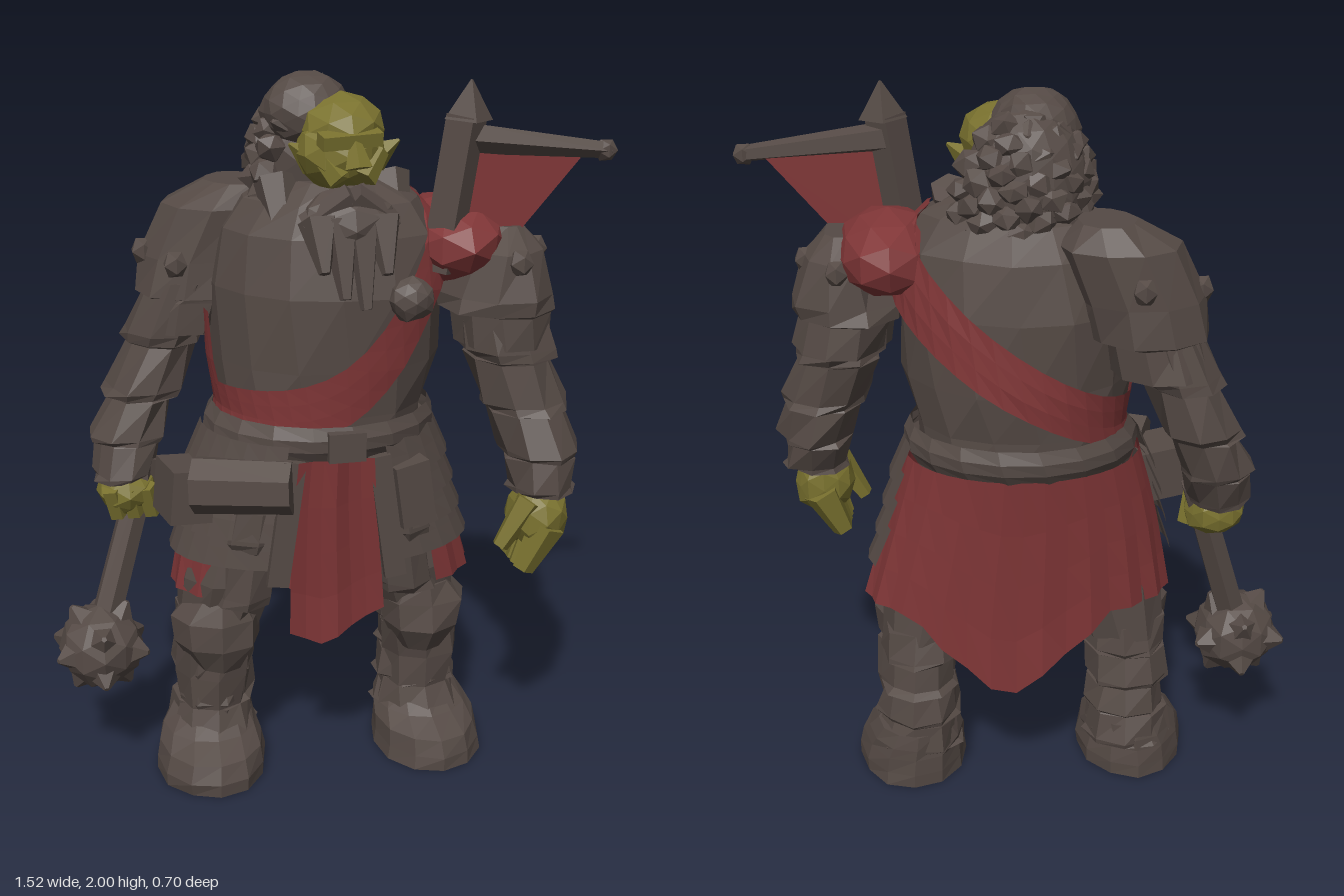
import * as THREE from 'three';

const mat = (name, color, side = THREE.FrontSide) => {
  const m = new THREE.MeshStandardMaterial({ color, flatShading: true, side });
  m.name = name;
  return m;
};

export function createModel() {
  const root = new THREE.Group();
  root.name = 'armouredWarrior';
  const brown = mat('darkLeather', 0x554a45, THREE.DoubleSide);
  const red = mat('redCloth', 0x803637, THREE.DoubleSide);
  const olive = mat('oliveSkin', 0x7a722f);
  const PI = Math.PI;

  const add = (name, geo, material, pos, rot) => {
    const m = new THREE.Mesh(geo, material);
    m.name = name;
    if (pos) m.position.set(...pos);
    if (rot) m.rotation.set(...rot);
    root.add(m);
    return m;
  };
  // Repeatable noise from a position, so shared corners stay together
  const noise = (x, y, z) => {
    const s = Math.sin(Math.round(x * 999) * 12.9 + Math.round(y * 999) * 78.2 + Math.round(z * 999) * 37.7) * 4375.85;
    return (s - Math.floor(s)) * 2 - 1;
  };
  const mesh3 = (pts, idx) => {
    const g = new THREE.BufferGeometry();
    g.setAttribute('position', new THREE.Float32BufferAttribute(pts, 3));
    g.setIndex(idx);
    const flat = g.toNonIndexed();
    flat.computeVertexNormals();
    return flat;
  };
  // Point on a ring [y, cx, cz, rx, rz, yaw]
  const ringPoint = ([y, cx, cz, rx, rz, yaw = 0], a, off = 0) => {
    const x = (rx + off) * Math.cos(a), z = (rz + off) * Math.sin(a);
    const c = Math.cos(yaw), s = Math.sin(yaw);
    return [cx + x * c + z * s, y, cz - x * s + z * c];
  };
  const lerpRing = (rings, t) => {
    const u = Math.min(Math.max(t, 0), 1) * (rings.length - 1);
    const i = Math.min(Math.floor(u), rings.length - 2);
    return rings[i].map((v, k) => v + (rings[i + 1][k] - v) * (u - i));
  };
  const ringAt = (rings, y) => { // rings run from top to bottom
    let i = 0;
    while (i < rings.length - 2 && rings[i + 1][0] > y) i++;
    const [p, q] = [rings[i], rings[i + 1]];
    const t = Math.min(Math.max((p[0] - y) / (p[0] - q[0]), 0), 1);
    return p.map((v, k) => (k ? v + (q[k] - v) * t : y));
  };
  // Closed solid through horizontal rings
  const loft = (name, material, rings, sides = 10, rough = 0.008) => {
    const r = rings[0][0] > rings.at(-1)[0] ? [...rings].reverse() : rings;
    const pts = [], idx = [], n = sides;
    r.forEach((ring, j) => {
      for (let i = 0; i < n; i++) {
        const a = (i / n) * PI * 2;
        pts.push(...ringPoint(ring, a, noise(...ringPoint(ring, a)) * rough));
        const p = j * n + i, q = j * n + (i + 1) % n;
        if (j < r.length - 1) idx.push(p, p + n, q, q, p + n, q + n);
      }
    });
    const lo = r.length * n, top = (r.length - 1) * n;
    pts.push(r[0][1], r[0][0], r[0][2], r.at(-1)[1], r.at(-1)[0], r.at(-1)[2]);
    for (let i = 0; i < n; i++) idx.push(lo, i, (i + 1) % n, lo + 1, top + (i + 1) % n, top + i);
    return add(name, mesh3(pts, idx), material);
  };
  // Overlapping armour bands along a chain of rings
  const banded = (rings, n, k = 0.06) => {
    const out = [];
    for (let i = 0; i < n; i++) {
      for (const [t, s] of [[i + 0.04, 1 - k], [i + 0.85, 1 + k], [i + 1, 1 + k * 0.6]]) {
        const r = lerpRing(rings, t / n);
        r[3] *= s; r[4] *= s;
        out.push(r);
      }
    }
    return out;
  };
  // Sheet wrapped round a body profile
  const wrap = (name, material, rings, a0, a1, top, bottom, off, cols = 24, rows = 4) => {
    const pts = [], idx = [];
    for (let i = 0; i <= cols; i++) {
      const a = a0 + (a1 - a0) * i / cols;
      for (let j = 0; j <= rows; j++) {
        const t = j / rows, y = top(a) + (bottom(a) - top(a)) * t;
        pts.push(...ringPoint(ringAt(rings, y), a, off(t, i)));
        const p = i * (rows + 1) + j;
        if (i < cols && j < rows) idx.push(p, p + rows + 1, p + 1, p + 1, p + rows + 1, p + rows + 2);
      }
    }
    return add(name, mesh3(pts, idx), material);
  };
  const blob = (name, material, pos, scale, detail = 1, rough = 0.1) => {
    const g = new THREE.IcosahedronGeometry(1, detail), p = g.attributes.position;
    for (let i = 0; i < p.count; i++) {
      const s = 1 + rough * noise(p.getX(i), p.getY(i), p.getZ(i));
      p.setXYZ(i, p.getX(i) * s * scale[0], p.getY(i) * s * scale[1], p.getZ(i) * s * scale[2]);
    }
    g.computeVertexNormals();
    return add(name, g, material, pos);
  };
  const rod = (name, material, from, to, r0, r1, sides = 6) => {
    const a = new THREE.Vector3(...from), b = new THREE.Vector3(...to), d = b.clone().sub(a);
    const m = add(name, new THREE.CylinderGeometry(r1, r0, d.length(), sides), material, a.clone().add(b).multiplyScalar(0.5).toArray());
    m.quaternion.setFromUnitVectors(new THREE.Vector3(0, 1, 0), d.normalize());
    return m;
  };
  const box = (name, material, size, pos, rot) => add(name, new THREE.BoxGeometry(...size), material, pos, rot);

  // Torso, twisted so the left shoulder leads
  const body = [
    [1.73, 0.03, 0.0, 0.14, 0.12, -0.35], [1.68, 0.03, 0.0, 0.24, 0.18, -0.35], [1.6, 0.03, -0.01, 0.3, 0.23, -0.35],
    [1.45, 0.02, -0.01, 0.32, 0.26, -0.3], [1.25, 0.02, -0.02, 0.31, 0.26, -0.2], [1.12, 0.01, -0.02, 0.28, 0.25, -0.1],
    [1.0, 0, -0.02, 0.29, 0.24, 0], [0.78, 0, -0.01, 0.31, 0.19, 0],
  ];
  loft('torso', brown, body, 14, 0.01);
  // Sash falls steeply across the chest and more evenly across the back
  const sashY = a => 1.14 + 0.46 * ((1 + Math.cos(a)) / 2) ** (Math.sin(a) > 0 ? 4 : 1.3);
  const sashHalf = a => 0.05 + 0.05 * (1 + Math.cos(a)) / 2 + (Math.sin(a) < 0 ? 0.02 : 0);
  wrap('chestSash', red, body, -PI, PI, a => Math.min(1.7, sashY(a) + sashHalf(a)), a => sashY(a) - sashHalf(a),
    () => 0.016, 36, 3);
  wrap('sideCloth', red, body, 0.87 * PI, 0.98 * PI, () => 1.38, () => 1.18, () => 0.016, 4, 3);
  blob('shoulderCloth', red, [0.35, 1.565, 0.05], [0.145, 0.115, 0.22], 1, 0.05);
  wrap('belt', brown, body, -PI, PI, () => 1.11, () => 1.01, t => 0.02 + 0.02 * Math.sin(t * PI), 18, 3);
  box('buckle', brown, [0.1, 0.08, 0.03], [0.02, 1.06, 0.26]);
  blob('sashBrooch', brown, [0.19, 1.45, 0.26], [0.06, 0.06, 0.045], 1);

  // Skirt, tabard and hip armour
  const hips = [[1.08, 0, -0.02, 0.3, 0.26], [0.85, 0, -0.02, 0.36, 0.235], [0.57, 0.015, -0.025, 0.42, 0.21]];
  wrap('backSkirt', red, hips, -1.22 * PI, 0.25 * PI, () => 1.02,
    a => 0.58 - 0.25 * Math.max(0, 1 - Math.abs(a + PI / 2 - 0.1) / 0.7), (t, i) => 0.01 + (i % 2) * 0.012 * t, 28, 4);
  wrap('frontTabard', red, hips, 0.41 * PI, 0.6 * PI, () => 1.02,
    a => 0.45 + 0.25 * Math.abs(a - 0.54 * PI), (t, i) => 0.02 + (i % 3 ? 0 : 0.015), 6, 4);
  for (const [a0, a1] of [[-0.1, 0.37], [0.63, 1.05]])
    for (let k = 0; k < 4; k++)
      wrap('hipPlate', brown, hips, a0 * PI, a1 * PI, () => 1.06 - k * 0.085, () => 0.95 - k * 0.085,
        t => 0.02 + t * 0.02, 7, 2);
  for (const s of [-1, 1]) {
    loft('thighPlate', brown, banded([[0.92, s * 0.19, 0.1, 0.085, 0.12], [0.56, s * 0.24, 0.06, 0.09, 0.11]], 2, 0.06), 8, 0.01);
    box('hangingStrap', brown, [0.06, 0.36, 0.025], [s * 0.14, 0.84, 0.235], [0, 0, s * 0.14]);
  }
  rod('largePouch', brown, [-0.37, 0.94, 0.14], [-0.12, 0.95, 0.24], 0.08, 0.075, 7);
  box('sidePouch', brown, [0.12, 0.15, 0.15], [-0.39, 0.9, 0.07], [0, 0.2, -0.1]);
  box('smallPouch', brown, [0.1, 0.18, 0.08], [0.21, 0.9, 0.21], [0, 0.2, 0.15]);

  // Legs and boots
  for (const s of [-1, 1]) {
    loft('thigh', brown, [[0.88, s * 0.18, -0.02, 0.15, 0.16], [0.62, s * 0.25, -0.01, 0.15, 0.16],
      [0.45, s * 0.29, -0.04, 0.12, 0.14]], 9, 0.01);
    loft('shin', brown, banded([[0.5, s * 0.295, -0.04, 0.115, 0.14], [0.3, s * 0.305, -0.06, 0.11, 0.125],
      [0.1, s * 0.31, -0.06, 0.12, 0.125]], 4, 0.04), 9, 0.015);
    loft('shinPlate', brown, [[0.42, s * 0.3, -0.01, 0.115, 0.11], [0.3, s * 0.31, -0.02, 0.115, 0.105],
      [0.2, s * 0.31, -0.02, 0.105, 0.1], [0.12, s * 0.315, 0.0, 0.12, 0.11]], 8, 0.01);
    loft('kneePlate', brown, [[0.56, s * 0.3, 0.03, 0.08, 0.1], [0.5, s * 0.305, 0.03, 0.13, 0.115],
      [0.42, s * 0.305, 0.03, 0.12, 0.12], [0.34, s * 0.3, 0.03, 0.07, 0.08]], 8, 0.006);
    loft('boot', brown, [[0.17, s * 0.315, -0.06, 0.11, 0.12], [0.125, s * 0.32, -0.03, 0.135, 0.155],
      [0.09, s * 0.325, 0.01, 0.15, 0.195], [0.04, s * 0.33, 0.015, 0.16, 0.205], [0, s * 0.33, 0.015, 0.16, 0.205]], 12, 0.006);
  }

  // Arms, shoulder plates and studs
  loft('leftArm', brown, banded([[1.42, 0.46, 0.11, 0.125, 0.15], [1.2, 0.52, 0.13, 0.12, 0.135],
    [1.02, 0.57, 0.18, 0.11, 0.145], [0.88, 0.58, 0.22, 0.09, 0.1]], 4), 9, 0.014);
  loft('rightArm', brown, banded([[1.45, -0.34, -0.17, 0.1, 0.14], [1.2, -0.43, -0.19, 0.105, 0.12],
    [1.02, -0.51, -0.17, 0.1, 0.115], [0.88, -0.54, -0.12, 0.08, 0.09]], 4), 9, 0.014);
  loft('leftShoulderPlate', brown, [[1.61, 0.48, 0.11, 0.05, 0.09], [1.55, 0.475, 0.11, 0.105, 0.16],
    [1.43, 0.465, 0.11, 0.165, 0.185], [1.39, 0.465, 0.11, 0.165, 0.19], [1.38, 0.475, 0.11, 0.13, 0.165],
    [1.29, 0.49, 0.11, 0.13, 0.165]], 10, 0.012);
  loft('rightShoulderPlate', brown, [[1.7, -0.2, -0.17, 0.08, 0.1], [1.64, -0.23, -0.18, 0.155, 0.15],
    [1.5, -0.29, -0.185, 0.17, 0.155], [1.4, -0.31, -0.18, 0.17, 0.16], [1.39, -0.33, -0.18, 0.135, 0.145],
    [1.3, -0.35, -0.18, 0.13, 0.15]], 10, 0.012);
  const studs = [[0.48, 1.53, 0.26], [0.575, 1.53, 0.1], [0.49, 1.53, -0.04], [-0.38, 1.5, -0.04], [-0.45, 1.51, -0.18], [-0.28, 1.55, -0.32]];
  for (const p of studs) blob('shoulderStud', brown, p, [0.035, 0.04, 0.035], 0);

  // Hands
  blob('leftPalm', olive, [0.565, 0.81, 0.24], [0.088, 0.1, 0.09], 1);
  for (let i = 0; i < 4; i++)
    rod('leftFinger', olive, [0.575, 0.8, 0.18 + i * 0.038], [0.515, 0.67, 0.19 + i * 0.033], 0.055, 0.032, 5);
  rod('leftThumb', olive, [0.53, 0.87, 0.28], [0.45, 0.74, 0.28], 0.042, 0.024, 5);
  blob('rightFist', olive, [-0.53, 0.845, -0.11], [0.085, 0.075, 0.09], 1);
  for (let i = 0; i < 3; i++)
    rod('rightFinger', olive, [-0.58 + i * 0.048, 0.87, -0.05], [-0.56 + i * 0.048, 0.78, -0.07], 0.03, 0.028, 5);

  // Spiked mace
  rod('maceShaft', brown, [-0.62, 0.45, -0.04], [-0.47, 0.93, -0.12], 0.045, 0.04, 6);
  blob('maceHead', brown, [-0.63, 0.4, -0.03], [0.12, 0.12, 0.125], 1, 0.05);
  const ico = new THREE.IcosahedronGeometry(1, 0).attributes.position;
  const seen = new Set();
  for (let i = 0; i < ico.count; i++) {
    const d = new THREE.Vector3().fromBufferAttribute(ico, i), key = d.toArray().map(v => v.toFixed(2)).join();
    if (seen.has(key)) continue;
    seen.add(key);
    const at = k => [-0.63 + d.x * k, 0.4 + d.y * k, -0.03 + d.z * k];
    rod('maceSpike', brown, at(0.08), at(0.15), 0.065, 0.008, 5);
  }

  // Head, hair and beard
  blob('hairCore', brown, [-0.01, 1.78, -0.06], [0.16, 0.19, 0.14], 2, 0.04);
  blob('hairCrest', brown, [-0.03, 1.9, -0.01], [0.12, 0.1, 0.115], 2, 0.05);
  blob('scalp', olive, [0.045, 1.865, 0.06], [0.115, 0.09, 0.145], 1, 0.04);
  blob('face', olive, [0.035, 1.81, 0.1], [0.12, 0.1, 0.115], 1, 0.05);
  const gaze = new THREE.Vector3(0.55, 0.3, 0.78);
  for (let i = 0; i < 130; i++) {
    const y = 1 - 2 * (i + 0.5) / 130, r = Math.sqrt(1 - y * y), a = i * 2.39996;
    const d = new THREE.Vector3(Math.cos(a) * r, y, Math.sin(a) * r);
    if (d.dot(gaze) > 0.22 || d.z > 0.5) continue;
    blob('curl', brown, [0.01 + d.x * 0.17, 1.75 + d.y * 0.2, -0.03 + d.z * 0.15], [0.045, 0.036, 0.045], 0, 0.25).rotation.set(i, i * 2, 0);
  }
  box('brow', olive, [0.16, 0.035, 0.05], [0.04, 1.855, 0.19], [0.2, 0.15, 0]);
  rod('nose', olive, [0.05, 1.85, 0.2], [0.055, 1.785, 0.22], 0.015, 0.036, 5);
  for (const s of [-1, 1]) {
    rod('ear', olive, [0.045 + s * 0.08, 1.79, 0.1], [0.045 + s * 0.145, 1.835, 0.11], 0.045, 0.004, 4);
    rod('cheek', olive, [0.045 + s * 0.03, 1.755, 0.19], [0.045 + s * 0.08, 1.82, 0.16], 0.035, 0.025, 5);
    rod('moustache', brown, [0.045, 1.715, 0.2], [0.045 + s * 0.11, 1.63, 0.17], 0.035, 0.04, 5);
    rod('sideLock', brown, [0.03 + s * 0.15, 1.73, 0.03], [0.04 + s * 0.15, 1.52, 0.16], 0.06, 0.025, 6);
  }
  blob('beard', brown, [0.045, 1.63, 0.15], [0.13, 0.1, 0.095], 1, 0.1);
  [1.53, 1.46, 1.43, 1.52].forEach((y, i) =>
    rod('beardStrand', brown, [-0.04 + i * 0.055, 1.65, 0.19], [-0.04 + i * 0.055, y, 0.26], 0.055, 0.016, 5));

  // Shoulder standard with pennant
  rod('standardPost', brown, [0.29, 1.5, 0.17], [0.35, 1.9, 0.17], 0.055, 0.055, 4);
  rod('standardFinial', brown, [0.355, 1.89, 0.17], [0.36, 1.99, 0.17], 0.065, 0.003, 4);
  rod('standardBar', brown, [0.34, 1.845, 0.16], [0.74, 1.8, 0.18], 0.042, 0.022, 5);
  blob('standardBarTip', brown, [0.73, 1.8, 0.18], [0.032, 0.032, 0.027], 0);
  const flag = new THREE.Shape([[0.36, 1.83], [0.67, 1.79], [0.49, 1.58], [0.3, 1.5]].map(p => new THREE.Vector2(...p)));
  add('pennant', new THREE.ExtrudeGeometry(flag, { depth: 0.01, bevelEnabled: false }), red, [0, 0, 0.165]);

  return root;
}
